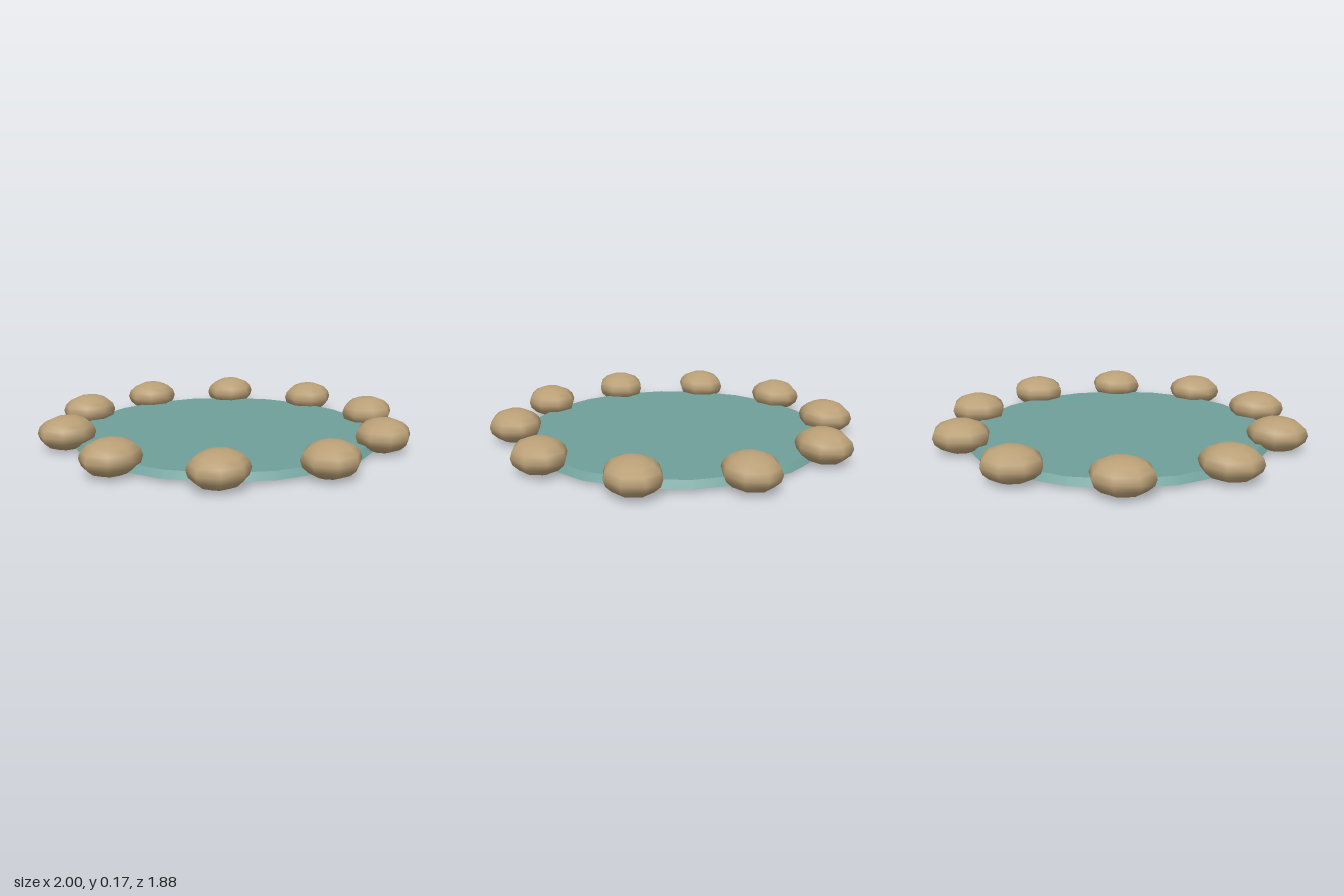
import * as THREE from 'three';

export function createModel() {
  const model = new THREE.Group();
  const water = new THREE.MeshStandardMaterial({ color: 0x70a09b });
  water.name = 'water teal';
  const sand = new THREE.MeshStandardMaterial({ color: 0xbaa077 });
  sand.name = 'sand stone';

  // Shallow pond disc with a sloping rim
  const pond = new THREE.Mesh(new THREE.CylinderGeometry(0.793, 0.82, 0.034, 20), water);
  pond.name = 'pondSurface';
  pond.position.y = 0.033;
  model.add(pond);

  // Ring of ten flattened stones, all turned the same way
  const stones = new THREE.Group();
  stones.name = 'stoneRing';
  const stoneGeometry = new THREE.SphereGeometry(1, 8, 8).scale(0.155, 0.0875, 0.137);
  const count = 10, ringRadius = 0.845;
  for (let i = 0; i < count; i++) {
    const angle = (i / count) * Math.PI * 2;
    const stone = new THREE.Mesh(stoneGeometry, sand);
    stone.name = `stone${i + 1}`;
    stone.position.set(Math.cos(angle) * ringRadius, 0.0875, Math.sin(angle) * ringRadius);
    stones.add(stone);
  }
  model.add(stones);
  return model;
}
